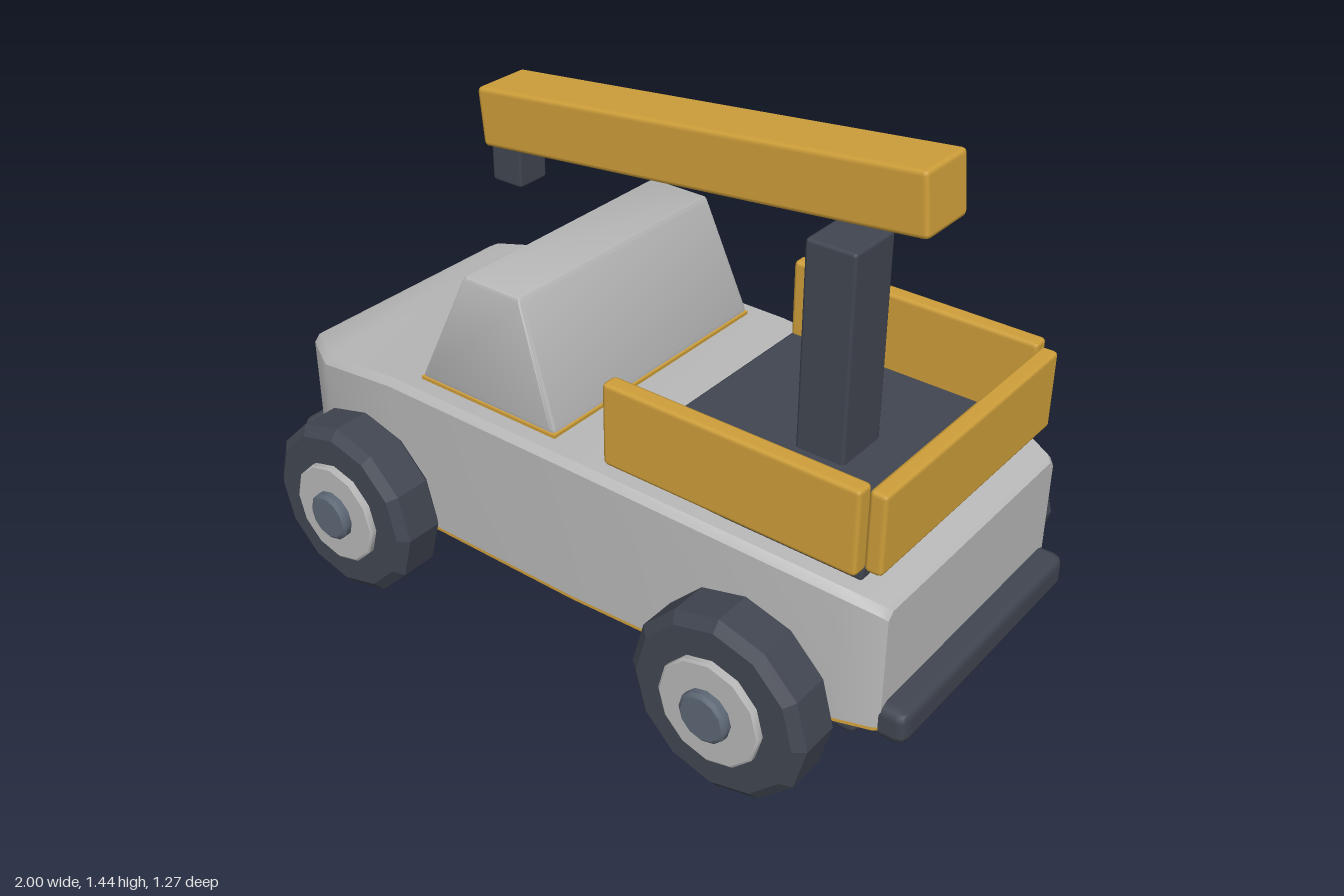
import * as THREE from 'three';
import { toCreasedNormals } from 'three/addons/utils/BufferGeometryUtils.js';
import { RoundedBoxGeometry } from 'three/addons/geometries/RoundedBoxGeometry.js';

const paint = (name, color) => Object.assign(new THREE.MeshStandardMaterial({ color }), { name });

export function createModel() {
  const grey = paint('light grey', 0xb8b8b8);
  const ochre = paint('ochre', 0xcf9f3a);
  const dark = paint('dark slate', 0x414651);
  const steel = paint('steel blue', 0x5d6775);
  const truck = new THREE.Group();
  truck.name = 'craneTruck';

  const add = (name, geometry, material, parent = truck) => {
    const mesh = new THREE.Mesh(geometry, material);
    mesh.name = name;
    parent.add(mesh);
    return mesh;
  };
  // Box with chamfered edges, given by its extents
  const box = (name, material, [x0, x1], [y0, y1], [z0, z1], bevel = 0.012) => {
    const mesh = add(name, new RoundedBoxGeometry(x1 - x0, y1 - y0, z1 - z0, 1, bevel), material);
    mesh.position.set((x0 + x1) / 2, (y0 + y1) / 2, (z0 + z1) / 2);
    return mesh;
  };

  // Body: cross-sections along x as [x, half width, top height]
  const stations = [
    [-0.93, 0.36, 0.565], [-0.91, 0.375, 0.575], [-0.8, 0.437, 0.577], [-0.53, 0.46, 0.622],
    [0.08, 0.46, 0.622], [0.83, 0.425, 0.586], [0.92, 0.395, 0.558], [0.935, 0.383, 0.545],
  ];
  const floorY = 0.224, chamfer = 0.018;
  const positions = [], index = [], ring = 6;
  for (const [x, w, top] of stations) {
    positions.push(x, floorY, w, x, top - chamfer, w, x, top, w - chamfer,
      x, top, chamfer - w, x, top - chamfer, -w, x, floorY, -w);
  }
  for (let s = 0; s < stations.length - 1; s++) {
    for (let i = 0; i < ring; i++) {
      const a = s * ring + i, b = s * ring + (i + 1) % ring;
      index.push(a, a + ring, b, b, a + ring, b + ring);
    }
  }
  const last = (stations.length - 1) * ring;
  for (let i = 1; i < ring - 1; i++) {
    index.push(0, i, i + 1, last, last + i + 1, last + i);
  }
  const bodyGeometry = new THREE.BufferGeometry();
  bodyGeometry.setAttribute('position', new THREE.Float32BufferAttribute(positions, 3));
  bodyGeometry.setIndex(index);
  add('body', toCreasedNormals(bodyGeometry, 0.5), grey);

  // Underside plate follows the plan of the body
  const plan = new THREE.Shape([
    ...stations.map(([x, w]) => new THREE.Vector2(x, -w)),
    ...stations.map(([x, w]) => new THREE.Vector2(x, w)).reverse(),
  ]);
  const plate = new THREE.ExtrudeGeometry(plan, { depth: 0.009, bevelEnabled: false });
  plate.rotateX(-Math.PI / 2);
  add('undersidePlate', plate, ochre).position.y = floorY - 0.009;

  // Chassis and bumpers
  box('chassis', dark, [-0.85, 0.86], [0.135, 0.22], [-0.365, 0.365], 0.02);
  box('frontBumper', dark, [-1, -0.905], [0.19, 0.287], [-0.387, 0.387], 0.028);
  box('rearBumper', dark, [0.905, 1], [0.19, 0.287], [-0.387, 0.387], 0.028);

  // Cab: chamfered box tapered towards its roof
  const cabH = 0.325;
  const cabGeometry = new RoundedBoxGeometry(0.455, cabH, 0.8, 1, 0.012);
  const p = cabGeometry.attributes.position;
  for (let i = 0; i < p.count; i++) {
    const t = p.getY(i) / cabH + 0.5;
    p.setX(i, p.getX(i) * (1 - 0.6 * t) + 0.01 * t);
    p.setZ(i, p.getZ(i) * (1 - 0.07 * t));
  }
  add('cab', toCreasedNormals(cabGeometry, 0.5), grey).position.set(-0.238, 0.63 + cabH / 2, 0);
  add('cabBase', new THREE.BoxGeometry(0.455, 0.009, 0.8), ochre).position.set(-0.238, 0.627, 0);

  // Load bed
  box('bedFloor', dark, [0.155, 0.862], [0.6, 0.637], [-0.385, 0.385], 0.008);
  for (const [side, s] of [['left', -1], ['right', 1]]) {
    const wall = box(side + 'BedWall', ochre, [0.155, 0.862], [0.627, 0.853], [0.366, 0.416]);
    wall.position.z *= s;
  }
  box('rearBedWall', ochre, [0.863, 0.91], [0.632, 0.845], [-0.387, 0.387]);

  // Crane
  box('cranePost', dark, [0.476, 0.615], [0.6, 1.195], [-0.082, 0.082], 0.01);
  const boom = box('craneBoom', ochre, [-0.52, 0.785], [1.216, 1.376], [-0.086, 0.086], 0.014);
  boom.rotation.z = 0.1;
  box('craneHook', dark, [-0.516, -0.418], [1.045, 1.22], [-0.05, 0.05], 0.008);

  // Wheels: twelve-sided lathe around the axle, one group per corner
  const lathe = (points, crease) => {
    const g = new THREE.LatheGeometry(points.map(([r, z]) => new THREE.Vector2(r, z)), 12);
    return toCreasedNormals(g.rotateX(Math.PI / 2), crease);
  };
  const tyre = lathe([[0, 0], [0.22, 0], [0.247, 0.022], [0.247, 0.123], [0.22, 0.145], [0, 0.145]], 0.3);
  const hub = lathe([[0.143, 0.14], [0.143, 0.158], [0.137, 0.162], [0, 0.162]], 0.6);
  const cap = lathe([[0.068, 0.16], [0.068, 0.178], [0.058, 0.186], [0, 0.186]], 0.6);
  for (const [end, x] of [['front', -0.615], ['rear', 0.62]]) {
    for (const [side, s] of [['Left', -1], ['Right', 1]]) {
      const wheel = new THREE.Group();
      wheel.name = end + side + 'Wheel';
      add('tyre', tyre, dark, wheel);
      add('hub', hub, grey, wheel);
      add('hubCap', cap, steel, wheel);
      wheel.position.set(x, 0.249, s * 0.451);
      if (s < 0) wheel.rotation.y = Math.PI;
      truck.add(wheel);
    }
  }
  return truck;
}
